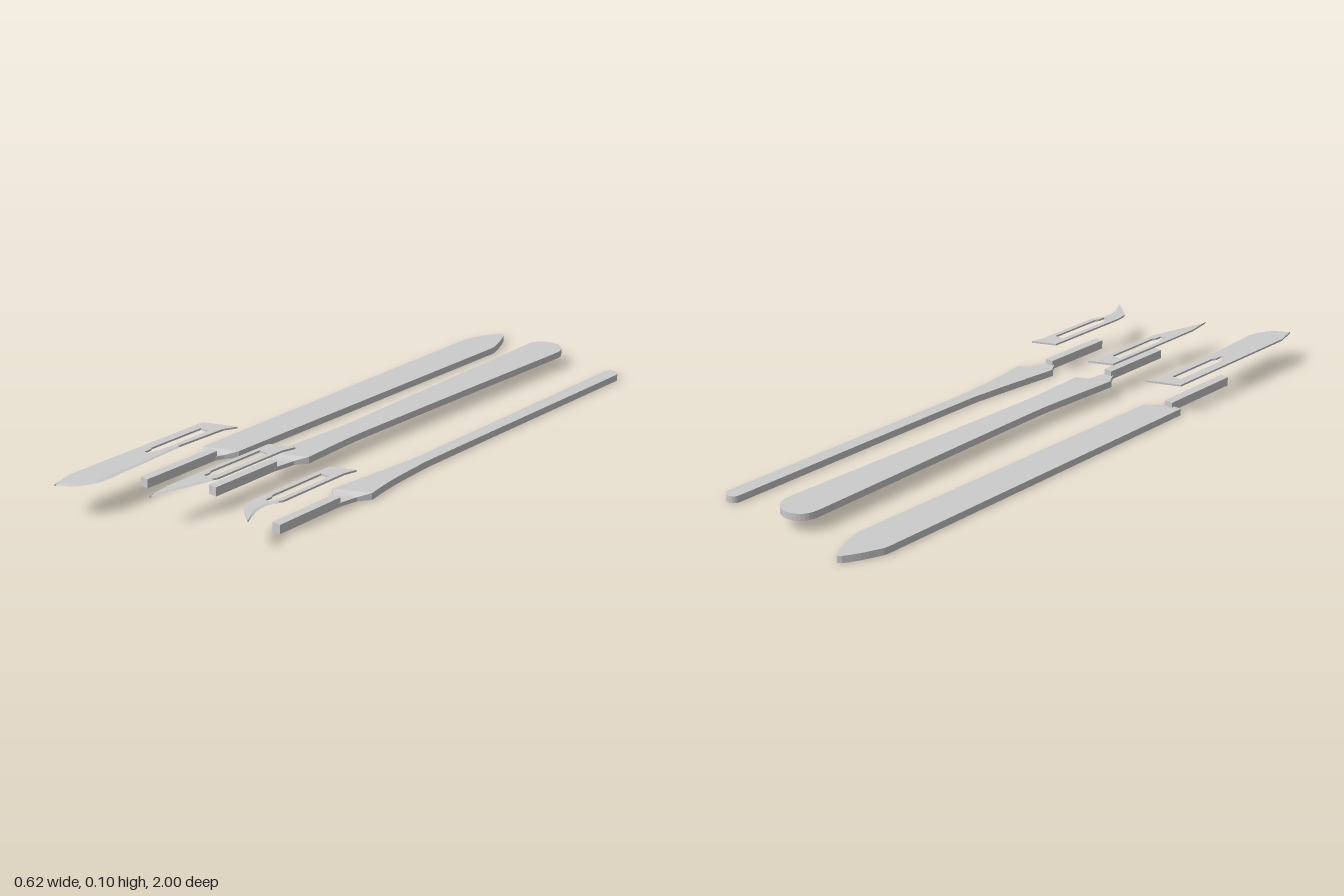
import * as THREE from 'three';

const material = new THREE.MeshStandardMaterial({ color: 0xcccccc, side: THREE.DoubleSide });
const BODY = 0.022, LEDGE = 0.013, TANG = 0.029, TANG_HALF = 0.0145;
const BLADE_LOW = 0.0975, BLADE_HIGH = 0.1035;

const v2 = ([x, z]) => new THREE.Vector2(x, z);

// Smooth run of [x, z] points through a few control points
const smooth = (pts, n = 12) =>
  new THREE.SplineCurve(pts.map(v2)).getPoints(n).map(p => [p.x, p.y]);

// Half circle at the rear end of a handle, from +x round to -x
const roundEnd = (cx, cz, r, n = 16) => Array.from({ length: n + 1 }, (_, i) => {
  const t = (i / n) * Math.PI;
  return [cx + r * Math.cos(t), cz - r * Math.sin(t)];
});

// Flat plate with an [x, z] outline between two heights
function plate(outline, low, high, hole) {
  const shape = new THREE.Shape(outline.map(v2));
  if (hole) shape.holes.push(new THREE.Path(hole.map(v2)));
  return new THREE.ExtrudeGeometry(shape, { depth: high - low, bevelEnabled: false })
    .rotateX(Math.PI / 2).translate(0, high, 0);
}

// Solid through cross-sections (each a ring of [x, y, z]) running towards +z
function loft(sections) {
  const pos = [];
  const tri = (a, b, c) => pos.push(...a, ...b, ...c);
  const n = sections[0].length, last = sections[sections.length - 1];
  for (let i = 0; i < sections.length - 1; i++) {
    for (let j = 0; j < n; j++) {
      const k = (j + 1) % n, s = sections[i], t = sections[i + 1];
      tri(s[j], t[j], t[k]);
      tri(s[j], t[k], s[k]);
    }
  }
  for (let j = 1; j < n - 1; j++) {
    tri(sections[0][0], sections[0][j], sections[0][j + 1]);
    tri(last[0], last[j + 1], last[j]);
  }
  const g = new THREE.BufferGeometry();
  g.setAttribute('position', new THREE.Float32BufferAttribute(pos, 3));
  g.computeVertexNormals();
  return g;
}

function add(group, name, geometry) {
  const mesh = new THREE.Mesh(geometry, material);
  mesh.name = name;
  group.add(mesh);
}

// Handle: grip, stepped neck behind the slanted shoulder, raised tang.
// The right run starts at the shoulder; the left run ends at it.
function makeHandle({ name, rightRun, end, leftRun, cx, tangStart, tangEnd, y }) {
  const g = new THREE.Group();
  g.name = name;
  add(g, 'grip', plate([...rightRun, ...end, ...leftRun], 0, BODY));
  const [rx, rz] = rightRun[0], [lx, lz] = leftRun[leftRun.length - 1];
  const section = (l, r, h) => [
    [l[0], 0, l[1]], [l[0], h, l[1]], [r[0], h, r[1]], [r[0], 0, r[1]]];
  add(g, 'neck', loft([
    section([lx, lz], [rx, rz], BODY),
    section([lx + 0.02, lz + 0.018], [rx - 0.026, rz + 0.036], LEDGE),
    section([cx - TANG_HALF, tangStart], [cx + TANG_HALF, tangStart], LEDGE)]));
  add(g, 'tang', new THREE.BoxGeometry(2 * TANG_HALF, TANG, tangEnd - tangStart + 0.01)
    .translate(cx, TANG / 2, (tangStart - 0.01 + tangEnd) / 2));
  g.position.y = y;
  return g;
}

// Blade: slotted plate with a thin wedge ground along its cutting edge.
// inner and edge are matching runs of points from the base to the tip.
function makeBlade({ name, base, inner, edge, back, slotX }) {
  const g = new THREE.Group();
  g.name = name;
  const slot = [[-0.016, 0.435], [0.016, 0.435], [0.016, 0.635], [0.009, 0.645],
    [0.009, 0.67], [-0.009, 0.67], [-0.009, 0.645], [-0.016, 0.635]]
    .map(([x, z]) => [x + slotX, z]);
  add(g, 'bladePlate', plate([...base, ...inner, ...back], BLADE_LOW, BLADE_HIGH, slot));
  const mid = (BLADE_LOW + BLADE_HIGH) / 2;
  add(g, 'cuttingEdge', loft(inner.map(([x, z], i) => [
    [x, BLADE_LOW, z], [x, BLADE_HIGH, z], [edge[i][0], mid, edge[i][1]]])));
  return g;
}

export function createModel() {
  const model = new THREE.Group();
  model.name = 'scalpelSet';

  // Handles
  model.add(
    makeHandle({
      name: 'wideHandle', cx: -0.25, tangStart: 0.415, tangEnd: 0.69, y: 0,
      rightRun: [[-0.197, 0.35], [-0.188, -0.86]],
      end: [...smooth([[-0.19, -0.88], [-0.215, -0.945], [-0.24, -0.992]], 6), [-0.25, -1],
        ...smooth([[-0.26, -0.992], [-0.285, -0.945], [-0.31, -0.88]], 6)],
      leftRun: [[-0.312, -0.86], [-0.304, 0.4]],
    }),
    makeHandle({
      name: 'flaredHandle', cx: 0, tangStart: 0.41, tangEnd: 0.65, y: 0.037,
      rightRun: smooth([[0.05, 0.3], [0.041, 0.12], [0.041, 0], [0.05, -0.4], [0.062, -0.88]]),
      end: roundEnd(0, -0.905, 0.062),
      leftRun: smooth([[-0.062, -0.88], [-0.05, -0.4], [-0.041, 0], [-0.043, 0.12], [-0.055, 0.355]]),
    }),
    makeHandle({
      name: 'slimHandle', cx: 0.257, tangStart: 0.41, tangEnd: 0.65, y: 0,
      rightRun: smooth([[0.309, 0.305], [0.291, 0.2], [0.28, 0.07], [0.276, -0.06], [0.278, -0.9]], 24),
      end: roundEnd(0.254, -0.943, 0.024),
      leftRun: smooth([[0.23, -0.9], [0.234, -0.06], [0.23, 0.07], [0.219, 0.2], [0.203, 0.36]], 24),
    }));

  // Blades
  model.add(
    makeBlade({
      name: 'broadBlade', slotX: -0.256,
      base: [[-0.302, 0.4], [-0.198, 0.353], [-0.217, 0.395], [-0.223, 0.56]],
      inner: [[-0.223, 0.575], [-0.212, 0.88], ...smooth([[-0.216, 0.905], [-0.242, 0.95], [-0.281, 0.985]], 8)],
      edge: [[-0.217, 0.575], [-0.198, 0.88], ...smooth([[-0.202, 0.91], [-0.229, 0.965], [-0.281, 0.999]], 8)],
      back: [[-0.281, 0.999], [-0.302, 0.925]],
    }),
    makeBlade({
      name: 'pointedBlade', slotX: -0.004,
      base: [[-0.035, 0.383], [0.041, 0.348], [0.03, 0.39], [0.03, 0.655]],
      inner: [[0.022, 0.672], [-0.024, 0.855]],
      edge: [[0.032, 0.672], [-0.021, 0.873]],
      back: [[-0.021, 0.873], [-0.035, 0.79]],
    }),
    makeBlade({
      name: 'hookedBlade', slotX: 0.245,
      base: [[0.212, 0.383], [0.287, 0.348], [0.277, 0.39], [0.277, 0.64]],
      inner: smooth([[0.27, 0.655], [0.255, 0.69], [0.262, 0.742], [0.295, 0.795]], 12),
      edge: smooth([[0.277, 0.65], [0.264, 0.69], [0.269, 0.737], [0.298, 0.797]], 12),
      back: smooth([[0.294, 0.798], [0.25, 0.765], [0.22, 0.735], [0.212, 0.69]], 12),
    }));
  return model;
}
